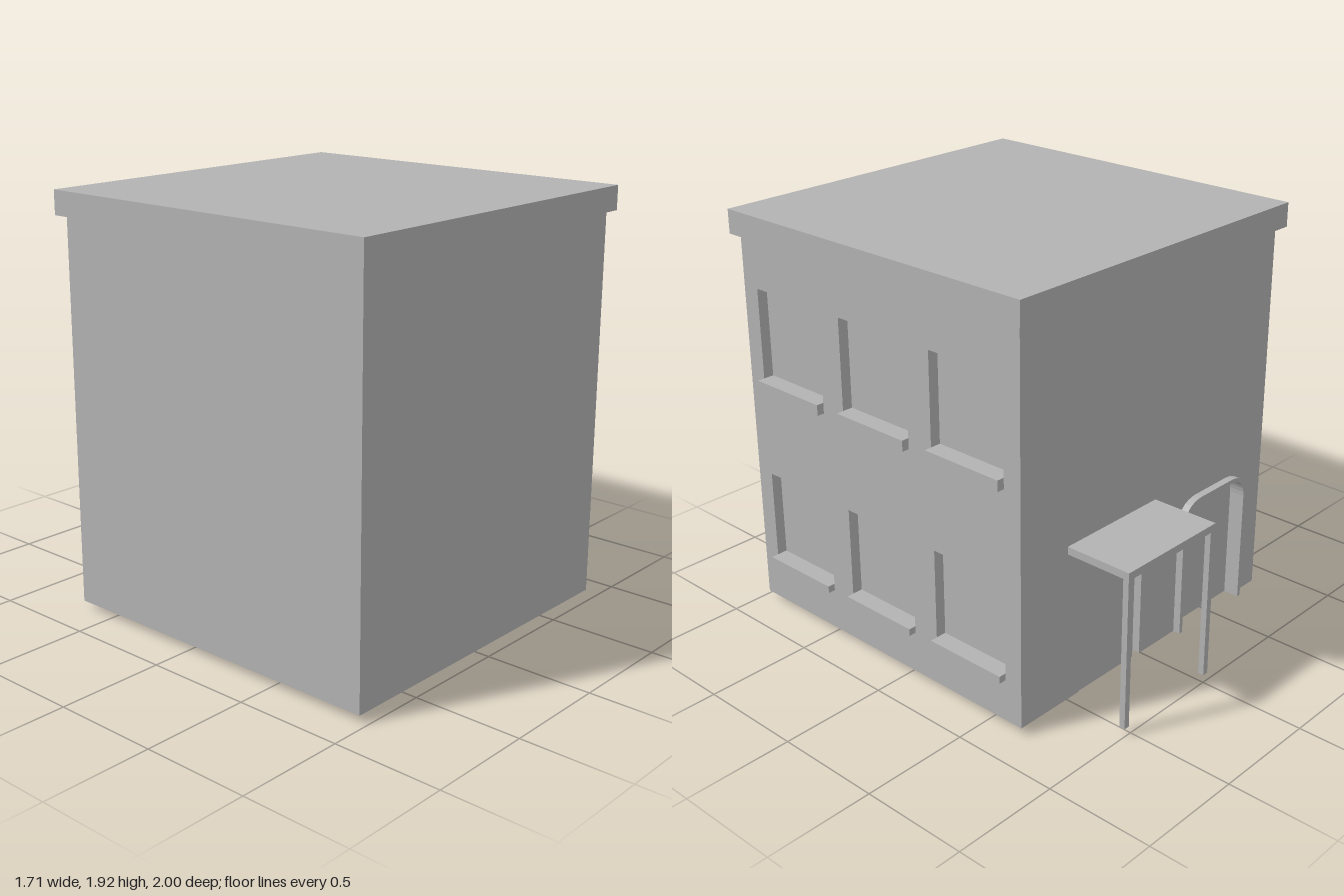
import * as THREE from 'three';

const BASE = 0.035, EAVE = 1.815;

export function createModel() {
  const grey = new THREE.MeshStandardMaterial({ color: 0xb2b2b2, side: THREE.DoubleSide });
  grey.name = 'plain grey';
  const house = new THREE.Group();
  house.name = 'house';

  const add = (name, geometry) => {
    const mesh = new THREE.Mesh(geometry, grey);
    mesh.name = name;
    house.add(mesh);
    return mesh;
  };
  // Box given by its limits on each axis
  const box = (name, x0, x1, y0, y1, z0, z1) =>
    add(name, new THREE.BoxGeometry(x1 - x0, y1 - y0, z1 - z0))
      .position.set((x0 + x1) / 2, (y0 + y1) / 2, (z0 + z1) / 2);
  const extrude = (shape, depth) =>
    new THREE.ExtrudeGeometry(shape, { depth, bevelEnabled: false, curveSegments: 8 });
  // Upward run around an opening with rounded top corners, from x0 to x1
  const arch = (path, x0, x1, top, r) => {
    const s = Math.sign(x1 - x0) * r;
    path.lineTo(x0, BASE);
    path.lineTo(x0, top - r);
    path.quadraticCurveTo(x0 + s * 0.04, top - r * 0.04, x0 + s, top);
    path.lineTo(x1 - s, top);
    path.quadraticCurveTo(x1 - s * 0.04, top - r * 0.04, x1, top - r);
    path.lineTo(x1, BASE);
  };

  // Solid core behind the recessed walls, and roof slab
  box('core', -0.82, 0.77, BASE, EAVE, -0.64, 0.97);
  box('roof', -0.855, 0.855, EAVE, 1.925, -0.715, 1.0);

  // Window wall: drawn with u = -z, then turned to face +x
  const side = new THREE.Shape();
  side.moveTo(-0.97, BASE);
  side.lineTo(0.64, BASE);
  side.lineTo(0.64, EAVE);
  side.lineTo(-0.97, EAVE);
  side.closePath();
  for (const sill of [0.265, 1.16]) {
    for (const z of [0.68, 0.147, -0.39]) {
      const hole = new THREE.Path();
      hole.moveTo(-z - 0.202, sill);
      hole.lineTo(-z - 0.202, sill + 0.422);
      hole.lineTo(-z + 0.202, sill + 0.422);
      hole.lineTo(-z + 0.202, sill);
      hole.closePath();
      side.holes.push(hole);
      box('windowSill', 0.79, 0.855, sill - (sill > 1 ? 0.05 : 0.033), sill, z - 0.202, z + 0.202);
    }
  }
  const sideWall = add('windowWall', extrude(side, 0.05));
  sideWall.rotation.y = Math.PI / 2;
  sideWall.position.x = 0.77;

  // Back wall with an arched recess and a door recess open at the bottom
  const back = new THREE.Shape();
  back.moveTo(-0.82, BASE);
  arch(back, -0.65, -0.22, 0.67, 0.1);
  back.lineTo(0.05, BASE);
  back.lineTo(0.05, 0.69);
  back.lineTo(0.46, 0.69);
  back.lineTo(0.46, BASE);
  back.lineTo(0.82, BASE);
  back.lineTo(0.82, EAVE);
  back.lineTo(-0.82, EAVE);
  back.closePath();
  add('backWall', extrude(back, 0.04)).position.z = -0.68;

  // Raised arch frame
  const frame = new THREE.Shape();
  frame.moveTo(-0.67, BASE);
  arch(frame, -0.67, -0.2, 0.69, 0.12);
  arch(frame, -0.22, -0.65, 0.67, 0.1);
  frame.closePath();
  add('archFrame', extrude(frame, 0.035)).position.z = -0.715;

  // Door leaf reaching the ground
  const door = add('door', new THREE.PlaneGeometry(0.41, 0.69));
  door.rotation.y = Math.PI;
  door.position.set(0.255, 0.345, -0.642);

  // Porch canopy on two posts
  box('canopy', -0.03, 0.54, 0.74, 0.775, -1.0, -0.68);
  for (const x of [-0.03, 0.51]) box('canopyPost', x, x + 0.028, BASE, 0.74, -0.998, -0.97);

  return house;
}
